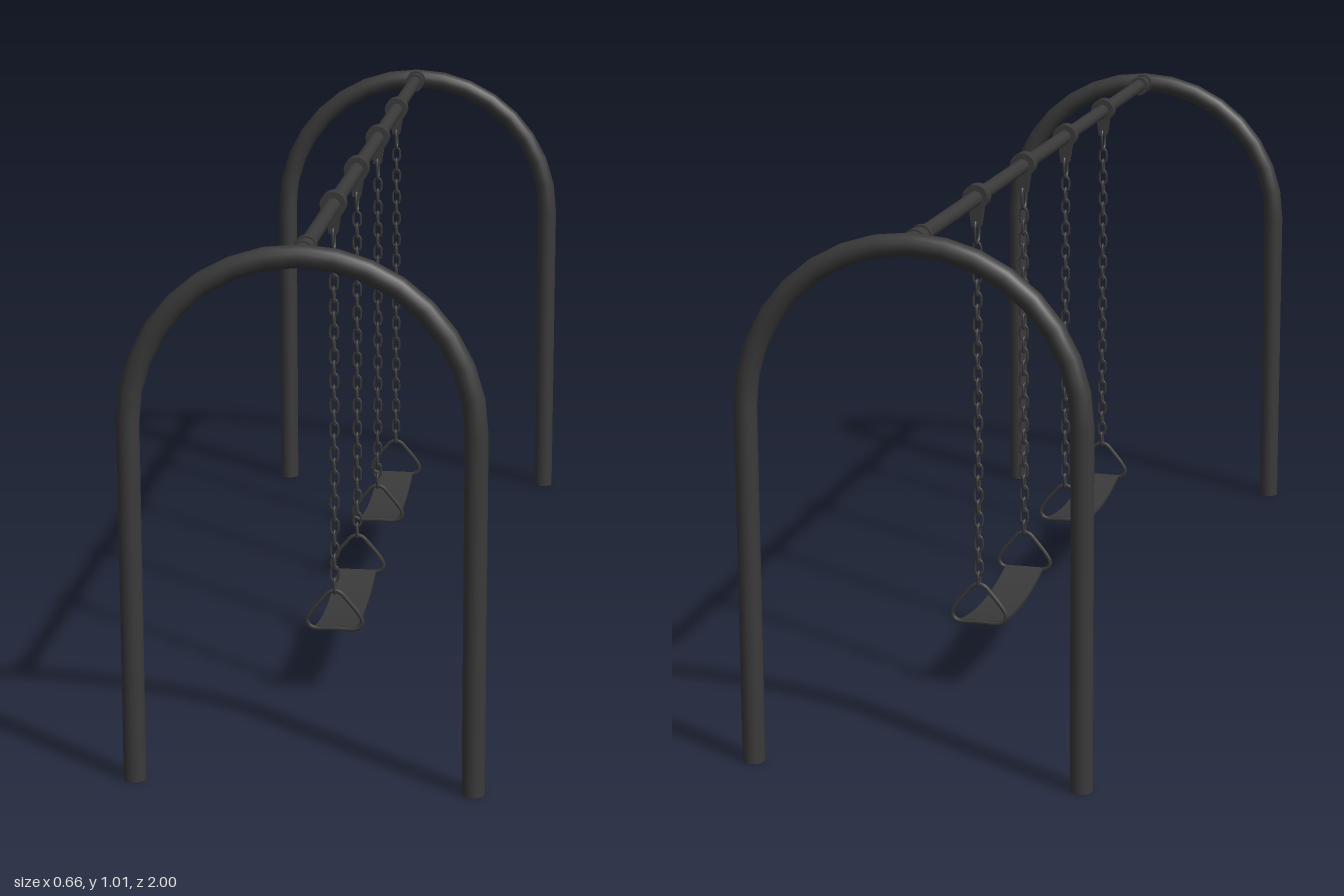
import * as THREE from 'three';

const steel = new THREE.MeshStandardMaterial({ color: 0x3a3a3a });
const V = (x, y, z = 0) => new THREE.Vector3(x, y, z);

function add(parent, name, geometry, x = 0, y = 0, z = 0) {
  const mesh = new THREE.Mesh(geometry, steel);
  mesh.name = name;
  mesh.position.set(x, y, z);
  parent.add(mesh);
  return mesh;
}

// closed wire loop, symmetric in x, given its right half from top to bottom
function loop(half, radius, segments) {
  const left = half.filter(p => p[0] > 0).reverse().map(([x, y]) => [-x, y]);
  const points = [...half, ...left].map(([x, y]) => V(x, y));
  return new THREE.TubeGeometry(new THREE.CatmullRomCurve3(points, true, 'centripetal'), segments, radius, 6, true);
}

const barZ = (r, length) => new THREE.CylinderGeometry(r, r, length, 16).rotateX(Math.PI / 2);

// end frame: two legs joined by a half-round top
class Arc extends THREE.Curve {
  getPoint(t, target = V(0, 0)) {
    const a = Math.PI * t;
    return target.set(0.31 * Math.cos(a), 0.31 * Math.sin(a), 0);
  }
}

function endFrame(side) {
  const g = new THREE.Group();
  g.name = 'endFrame';
  const r = 0.021, spring = 0.675;
  add(g, 'arch', new THREE.TubeGeometry(new Arc(), 16, r, 16), 0, spring, 0);
  for (const x of [-0.31, 0.31]) add(g, 'leg', new THREE.CylinderGeometry(r, r, spring, 16), x, spring / 2, 0);
  g.position.z = side * 0.979;
  return g;
}

// sleeve with two raised collars where the beam meets the arch
function coupler(side) {
  const g = new THREE.Group();
  g.name = 'beamCoupler';
  add(g, 'sleeve', barZ(0.018, 0.07), 0, 0, 0.935);
  for (const z of [0.908, 0.948]) add(g, 'collar', barZ(0.021, 0.012), 0, 0, z);
  g.position.y = 0.986;
  if (side < 0) g.rotation.y = Math.PI;
  return g;
}

const linkGeometry = loop([[0, 0.0155], [0.006, 0.012], [0.0075, 0.006], [0.0075, -0.006], [0.006, -0.012], [0, -0.0155]], 0.0027, 16);
const shackleGeometry = loop([[0, 0.024], [0.01, 0.021], [0.0145, 0.01], [0.011, -0.018], [0, -0.023]], 0.0028, 20).rotateY(Math.PI / 2);
const triangleGeometry = loop([[0, 0.224], [0.012, 0.22], [0.024, 0.207], [0.048, 0.177], [0.0545, 0.163],
  [0.05, 0.152], [0.04, 0.147], [0, 0.147]], 0.0043, 48);

// tapered lug below the beam clamp
const lugShape = new THREE.Shape([[-0.016, 0.985], [-0.008, 0.932], [0.008, 0.932], [0.016, 0.985]].map(p => new THREE.Vector2(...p)));
const lugGeometry = new THREE.ExtrudeGeometry(lugShape, { depth: 0.022, bevelEnabled: false }).translate(0, 0, -0.011);

function hanger(z) {
  const g = new THREE.Group();
  g.name = 'hanger';
  add(g, 'beamClamp', barZ(0.025, 0.028), 0, 0.988, 0);
  add(g, 'clampLug', lugGeometry);
  add(g, 'shackle', shackleGeometry, 0, 0.921, 0);
  // alternate links are turned a quarter
  for (let i = 0; i < 28; i++) {
    const link = add(g, 'chainLink', linkGeometry, 0, 0.885 - i * 0.0241, 0);
    if (i % 2) link.rotation.y = Math.PI / 2;
  }
  add(g, 'seatTriangle', triangleGeometry);
  g.position.z = z;
  return g;
}

// flexible seat, sagging between its two triangles
function seat(z) {
  const half = 0.178;
  const geometry = new THREE.BoxGeometry(0.078, 0.006, half * 2, 1, 1, 16);
  const p = geometry.attributes.position;
  for (let i = 0; i < p.count; i++) {
    p.setY(i, p.getY(i) - 0.02 * (1 - (p.getZ(i) / half) ** 2));
  }
  geometry.computeVertexNormals();
  return add(new THREE.Group(), 'seat', geometry, 0, 0.148, z);
}

export function createModel() {
  const model = new THREE.Group();
  model.name = 'swingSet';
  add(model, 'topBeam', barZ(0.0145, 1.95), 0, 0.987, 0);
  for (const side of [-1, 1]) {
    model.add(endFrame(side), coupler(side));
    const swing = new THREE.Group();
    swing.name = 'swing';
    swing.add(hanger(side * 0.178), hanger(side * 0.534), seat(side * 0.356));
    model.add(swing);
  }
  return model;
}
